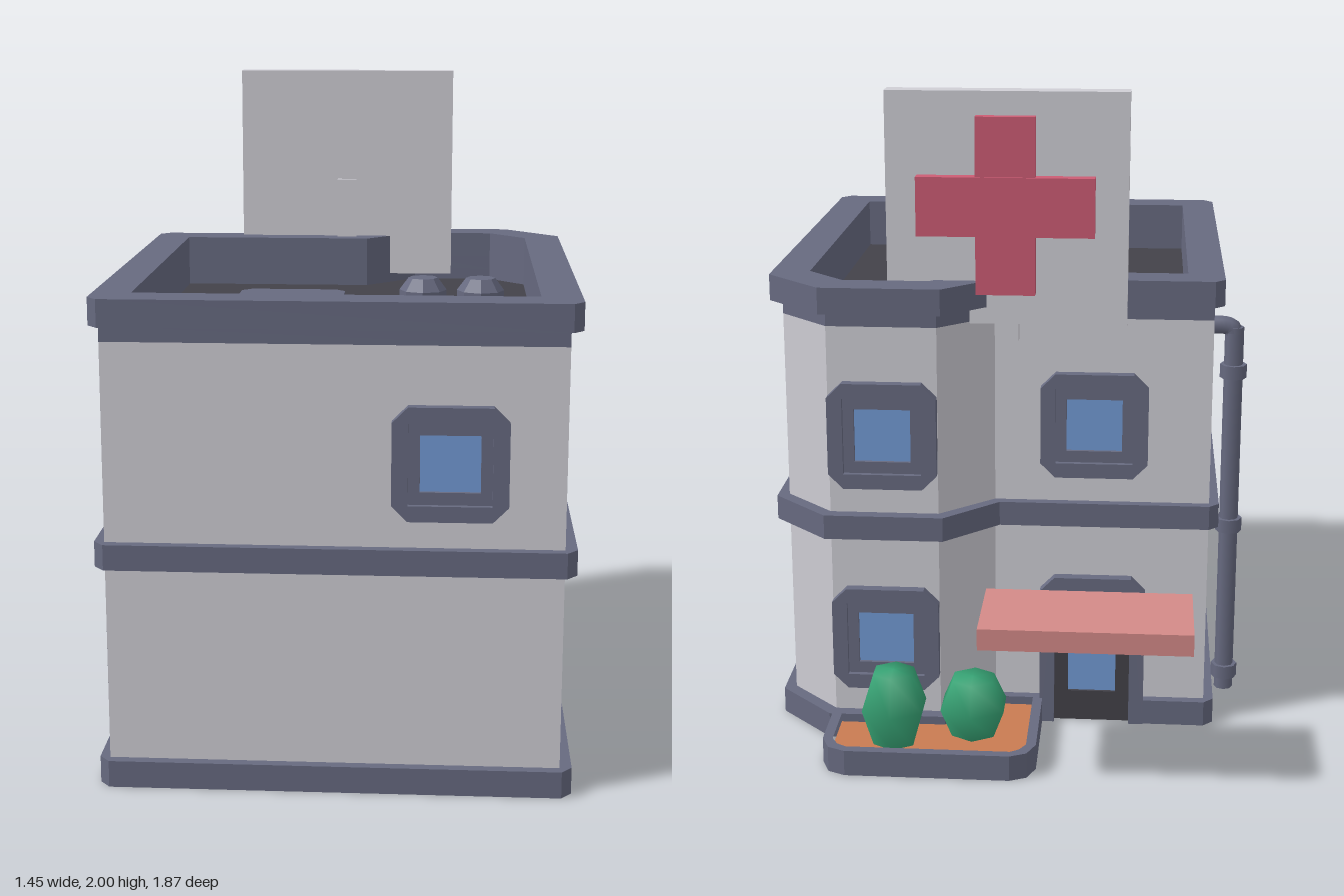
import * as THREE from 'three';

const mat = (name, color) => {
  const m = new THREE.MeshStandardMaterial({ color });
  m.name = name;
  return m;
};

export function createModel() {
  const wallMat = mat('pale wall', 0xcfced5);
  const slate = mat('slate trim', 0x676a80);
  const dark = mat('charcoal', 0x434249);
  const glassMat = mat('blue glass', 0x739bd6);
  const red = mat('crimson', 0xcc5c74);
  const pink = mat('salmon', 0xd48a88);
  const soilMat = mat('terracotta soil', 0xc97b52);
  const green = mat('leaf green', 0x36a173);

  const model = new THREE.Group();
  model.name = 'clinic';

  const add = (name, geometry, material, x = 0, y = 0, z = 0, parent = model) => {
    const mesh = new THREE.Mesh(geometry, material);
    mesh.name = name;
    mesh.position.set(x, y, z);
    parent.add(mesh);
    return mesh;
  };
  const box = (name, material, x0, x1, y0, y1, z0, z1) =>
    add(name, new THREE.BoxGeometry(x1 - x0, y1 - y0, z1 - z0), material,
      (x0 + x1) / 2, (y0 + y1) / 2, (z0 + z1) / 2);

  const toShape = (pts, hole) => {
    const s = new THREE.Shape(pts.map(([x, y]) => new THREE.Vector2(x, y)));
    if (hole) s.holes.push(new THREE.Path(hole.map(([x, y]) => new THREE.Vector2(x, y))));
    return s;
  };
  const extrude = (pts, depth, hole) =>
    new THREE.ExtrudeGeometry(toShape(pts, hole), { depth, bevelEnabled: false });
  // Floor plan given as [x, z], raised from y0 to y1
  const flip = (pts) => pts && pts.map(([x, z]) => [x, -z]);
  const slab = (name, material, plan, y0, y1, hole) =>
    add(name, extrude(flip(plan), y1 - y0, flip(hole)).rotateX(-Math.PI / 2), material, 0, y0, 0);

  // Floor plans: wall face, projecting trim and inside of the parapet
  const wallPlan = [[-0.62, 0.905], [0.685, 0.905], [0.685, -0.41], [0.53, -0.56],
    [0.2, -0.56], [0.04, -0.41], [-0.62, -0.41]];
  const corePlan = wallPlan.map(([x, z]) => [x * 0.97, z * 0.97]);
  const trimFront = [[-0.65, -0.41], [-0.65, 0.9], [-0.62, 0.935], [0.69, 0.935], [0.72, 0.9],
    [0.72, -0.43], [0.545, -0.6], [0.184, -0.6], [0.024, -0.44]];
  const trimPlan = [...trimFront, [-0.62, -0.44]];
  const basePlan = [...trimFront, [-0.11, -0.44], [-0.11, -0.405], [-0.42, -0.405],
    [-0.42, -0.44], [-0.62, -0.44]];
  const innerPlan = [[-0.54, 0.82], [0.605, 0.82], [0.605, -0.375], [0.49, -0.49],
    [0.23, -0.49], [0.07, -0.33], [-0.54, -0.33]];

  // Building shell
  slab('walls', wallMat, wallPlan, 0.04, 1.315, corePlan);
  slab('baseTrim', slate, basePlan, 0, 0.08);
  slab('middleTrim', slate, trimPlan, 0.66, 0.735, corePlan);
  slab('parapetLining', slate, corePlan, 1.26, 1.315, innerPlan);
  slab('parapetBand', slate, wallPlan, 1.315, 1.36, innerPlan);
  slab('parapetCap', slate, trimPlan, 1.36, 1.44, innerPlan);
  slab('roof', dark, corePlan, 1.25, 1.28);

  // Chamfered rectangle centred on x, standing from y0 to y1
  const chamfered = (w, y0, y1, c, cb = c) => [[-w + cb, y0], [w - cb, y0], [w, y0 + cb], [w, y1 - c],
    [w - c, y1], [-w + c, y1], [-w, y1 - c], [-w, y0 + cb]];
  const rect = (w, y0, y1) => [[-w, y0], [w, y0], [w, y1], [-w, y1]];

  // Windows: thick outer frame, thinner inner frame, pane
  const addWindow = (name, x, y, z, turn) => {
    const g = new THREE.Group();
    g.name = name;
    g.position.set(x, y, z);
    g.rotation.y = turn;
    add('outerFrame', extrude(chamfered(0.164, -0.164, 0.164, 0.045), 0.032, rect(0.118, -0.118, 0.118)), slate, 0, 0, 0, g);
    add('innerFrame', extrude(rect(0.119, -0.119, 0.119), 0.016, rect(0.085, -0.082, 0.082)), slate, 0, 0, 0, g);
    add('pane', new THREE.PlaneGeometry(0.172, 0.166), glassMat, 0, 0, 0.005, g);
    model.add(g);
  };
  addWindow('frontWindow', 0.36, 0.983, 0.905, 0);
  addWindow('backWindow', -0.265, 0.983, -0.41, Math.PI);
  for (const [level, y] of [['upper', 0.983], ['lower', 0.33]]) {
    addWindow(level + 'BayWindow', 0.365, y, -0.56, Math.PI);
    addWindow(level + 'SideWindow', -0.62, y, 0.58, -Math.PI / 2);
  }

  // Door under the awning
  const door = new THREE.Group();
  door.name = 'door';
  door.position.set(-0.265, 0, -0.41);
  door.rotation.y = Math.PI;
  const doorway = rect(0.118, 0.001, 0.445);
  add('doorFrame', extrude([[-0.164, 0], [-0.118, 0], [-0.118, 0.445], [0.118, 0.445], [0.118, 0],
    [0.164, 0], [0.164, 0.445], [0.119, 0.49], [-0.119, 0.49], [-0.164, 0.445]], 0.035), slate, 0, 0, 0, door);
  add('doorPanel', extrude(doorway, 0.014, rect(0.075, 0.1, 0.4)), dark, 0, 0, 0, door);
  add('doorPane', new THREE.PlaneGeometry(0.152, 0.302), glassMat, 0, 0.25, 0.005, door);
  model.add(door);
  box('awning', pink, -0.57, 0.05, 0.46, 0.525, -0.935, -0.63);

  // Sign board with cross and post
  box('signBoard', wallMat, -0.36, 0.355, 1.31, 2, -0.475, -0.405);
  box('signPost', wallMat, -0.035, 0.03, 1.25, 1.635, -0.455, -0.38);
  box('crossUpright', red, -0.088, 0.088, 1.405, 1.93, -0.51, -0.47);
  box('crossBar', red, -0.262, 0.262, 1.58, 1.755, -0.518, -0.47);

  // Roof hatch and vents
  const hatchPlan = [[-0.29, 0.28], [-0.26, 0.25], [0, 0.25], [0.03, 0.28],
    [0.03, 0.545], [0, 0.575], [-0.26, 0.575], [-0.29, 0.545]];
  slab('roofHatch', slate, hatchPlan, 1.27, 1.36);
  const ventProfile = [[0.04, 0], [0.04, 0.08], [0.068, 0.1], [0.068, 0.145], [0.042, 0.18], [0, 0.18]]
    .map(([r, y]) => new THREE.Vector2(r, y));
  const ventGeo = new THREE.LatheGeometry(ventProfile, 8).toNonIndexed();
  ventGeo.computeVertexNormals();
  for (const x of [0.275, 0.44]) add('roofVent', ventGeo, slate, x, 1.28, 0.625);

  // Drainpipe with collars and elbow
  const pipeX = -0.685, pipeZ = -0.32;
  add('drainpipe', new THREE.CylinderGeometry(0.029, 0.029, 1.19, 8), slate, pipeX, 0.68, pipeZ);
  for (const y of [0.145, 0.64, 1.137])
    add('pipeCollar', new THREE.CylinderGeometry(0.041, 0.041, 0.042, 8), slate, pipeX, y, pipeZ);
  const elbow = new THREE.CatmullRomCurve3([[pipeX, 1.25, pipeZ], [pipeX + 0.008, 1.272, pipeZ],
    [pipeX + 0.03, 1.28, pipeZ], [-0.61, 1.28, pipeZ]].map((p) => new THREE.Vector3(...p)));
  add('pipeElbow', new THREE.TubeGeometry(elbow, 8, 0.028, 8), slate);

  // Planter with rounded outer corners, soil and bushes
  const planterPlan = (i) => [[-0.11 + i, -0.42], [-0.11 + i, -0.765], [-0.085 + i * 0.8, -0.822 + i * 0.8],
    [-0.035, -0.845 + i], [0.46, -0.845 + i], [0.512 - i * 0.8, -0.822 + i * 0.8], [0.537 - i, -0.765], [0.537 - i, -0.42]];
  const soilPlan = planterPlan(0.03);
  soilPlan[0][1] = soilPlan[7][1] = -0.43;
  slab('planterRim', slate, planterPlan(0), 0, 0.08, soilPlan);
  slab('planterFloor', slate, soilPlan, 0, 0.045);
  slab('soil', soilMat, soilPlan, 0.045, 0.054);
  const bushProfile = [[0.07, 0], [0.108, 0.5], [0.068, 0.97], [0, 1]]
    .map(([r, y]) => new THREE.Vector2(r, y));
  for (const [x, z, r, h] of [[0.325, -0.71, 0.98, 0.24], [0.09, -0.635, 1.03, 0.19]]) {
    const geo = new THREE.LatheGeometry(bushProfile.map((p) => new THREE.Vector2(p.x * r, p.y * h)), 6);
    add('bush', geo, green, x, 0.05, z);
  }

  return model;
}
